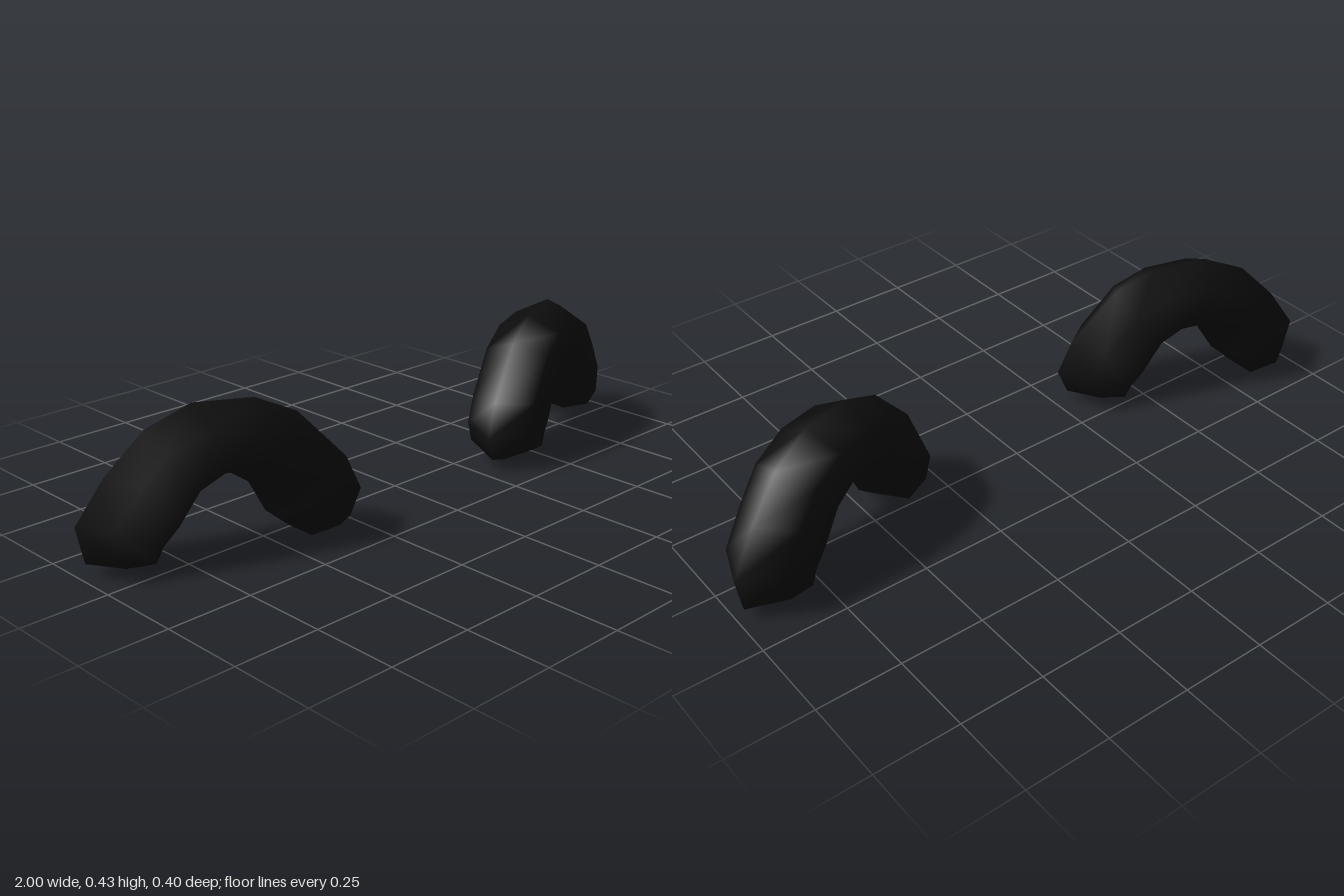
import * as THREE from 'three';

// Cross-sections along the arch: outer ridge, side edge and inner ridge, each as [along, up]
const RINGS = [
  [[0.372, 0.035], [0.3, 0.065], [0.185, 0.04]],
  [[0.392, 0.14], [0.31, 0.146], [0.155, 0.07]],
  [[0.31, 0.26], [0.24, 0.245], [0.12, 0.1]],
  [[0.202, 0.37], [0.167, 0.33], [0.065, 0.188]],
  [[0.074, 0.425], [0.057, 0.375], [0.012, 0.222]],
  [[-0.096, 0.415], [-0.078, 0.367], [-0.02, 0.22]],
  [[-0.212, 0.36], [-0.18, 0.32], [-0.07, 0.185]],
  [[-0.35, 0.21], [-0.28, 0.2], [-0.115, 0.095]],
  [[-0.392, 0.11], [-0.316, 0.125], [-0.15, 0.065]],
  [[-0.361, 0.035], [-0.29, 0.06], [-0.18, 0.04]],
];
const HALF_WIDTH = 0.1;
const TURN = 0.342; // each arch is swung back at its outer end

// Six-sided arched tube with a low pointed cap on each foot; side is 1 or -1
function archGeometry(side) {
  const positions = [], index = [];
  const add = (u, v, w) => positions.push(
    side * (0.63 + u * Math.cos(TURN) + w * Math.sin(TURN)),
    v,
    -u * Math.sin(TURN) + w * Math.cos(TURN));
  const face = (a, b, c) => (side > 0 ? index.push(a, b, c) : index.push(a, c, b));

  for (const [outer, edge, inner] of RINGS) {
    const low = edge.map((e, k) => e + (inner[k] - e) * 0.75);
    add(...outer, 0);
    add(...edge, HALF_WIDTH);
    add(...low, HALF_WIDTH);
    add(...inner, 0);
    add(...low, -HALF_WIDTH);
    add(...edge, -HALF_WIDTH);
  }
  const last = (RINGS.length - 1) * 6;
  const foot = RINGS.length * 6;
  add(0.268, 0, 0);
  add(-0.265, 0.003, 0);

  for (let j = 0; j < 6; j++) {
    const k = (j + 1) % 6;
    for (let r = 0; r < last; r += 6) {
      face(r + j, r + 6 + j, r + k);
      face(r + k, r + 6 + j, r + 6 + k);
    }
    face(foot, j, k);
    face(foot + 1, last + k, last + j);
  }

  const geometry = new THREE.BufferGeometry();
  geometry.setAttribute('position', new THREE.Float32BufferAttribute(positions, 3));
  geometry.setIndex(index);
  geometry.computeVertexNormals();
  return geometry;
}

export function createModel() {
  const group = new THREE.Group();
  group.name = 'archPair';
  const black = new THREE.MeshStandardMaterial({ color: 0x0d0d0d });
  black.name = 'black';
  for (const side of [1, -1]) {
    const arch = new THREE.Mesh(archGeometry(side), black);
    arch.name = side > 0 ? 'leftArch' : 'rightArch';
    group.add(arch);
  }
  return group;
}
